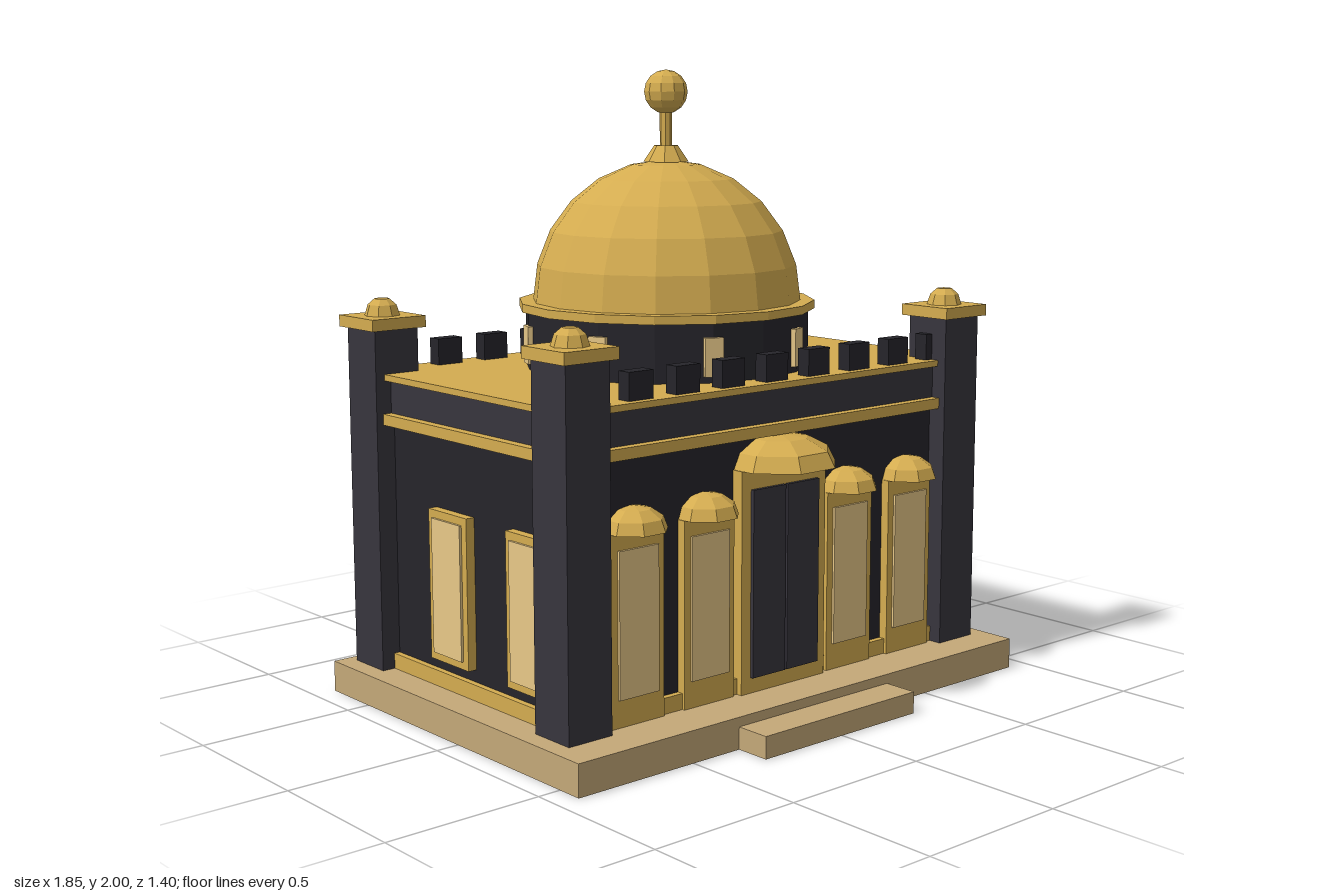
import * as THREE from 'three';

const mat = (color) => new THREE.MeshStandardMaterial({ color, flatShading: true });

export function createModel() {
  const model = new THREE.Group();
  const gold = mat(0xd4ac50), stone = mat(0xc4a878), wall = mat(0x26252b);
  const slate = mat(0x37353d), glass = mat(0xe8c888);

  const add = (name, geo, material, parent = model) => {
    const m = new THREE.Mesh(geo, material);
    m.name = name;
    parent.add(m);
    return m;
  };
  // Box given by its extents on each axis
  const box = (name, material, [x0, x1], [y0, y1], [z0, z1], parent) => {
    const m = add(name, new THREE.BoxGeometry(x1 - x0, y1 - y0, z1 - z0), material, parent);
    m.position.set((x0 + x1) / 2, (y0 + y1) / 2, (z0 + z1) / 2);
    return m;
  };
  // Faceted turned part: [radius, height] pairs from bottom to top
  const turned = (name, material, pts, sides, x, y, z, parent) => {
    const geo = new THREE.LatheGeometry(pts.map(([r, h]) => new THREE.Vector2(r, h)), sides);
    const m = add(name, geo, material, parent);
    m.position.set(x, y, z);
    return m;
  };
  // Quarter-ellipse profile closed underneath
  const domeProfile = (r, h, bands) => {
    const pts = [[0, 0]];
    for (let i = 0; i <= bands; i++) {
      const a = (i / bands) * Math.PI / 2;
      pts.push([i === bands ? 0 : r * Math.cos(a), h * Math.sin(a)]);
    }
    return pts;
  };

  // Terrace and front step
  box('terrace', stone, [-0.925, 0.925], [0, 0.1], [-0.7, 0.585]);
  box('frontStep', stone, [-0.32, 0.32], [0, 0.07], [0.5, 0.7]);

  // Stacked layers of the main block, all about the same centre
  const cz = -0.1;
  const layer = (name, material, hx, hz, y0, y1) =>
    box(name, material, [-hx, hx], [y0, y1], [cz - hz, cz + hz]);
  layer('walls', wall, 0.8, 0.5, 0.1, 0.9);
  layer('plinth', gold, 0.82, 0.52, 0.1, 0.15);
  layer('lowerBand', gold, 0.84, 0.54, 0.895, 0.93);
  layer('frieze', slate, 0.81, 0.51, 0.93, 1.035);
  layer('roof', gold, 0.832, 0.532, 1.035, 1.055);

  // Corner towers with caps and knobs
  for (const x of [-0.785, 0.785]) for (const z of [-0.582, 0.385]) {
    const tower = new THREE.Group();
    tower.name = 'cornerTower';
    tower.position.set(x, 0, z);
    model.add(tower);
    box('towerShaft', slate, [-0.079, 0.079], [0.1, 1.195], [-0.079, 0.079], tower);
    box('towerCap', gold, [-0.098, 0.098], [1.195, 1.232], [-0.098, 0.098], tower);
    turned('towerKnob', gold, [[0.057, 0], [0.046, 0.034], [0.024, 0.053], [0, 0.053]],
      8, 0, 1.232, 0, tower);
  }

  // Battlements along front and back
  for (const z of [-0.585, 0.381]) for (let i = -4; i <= 4; i++) {
    const x = i * 0.181;
    box('merlon', wall, [x - 0.046, x + 0.046], [1.055, 1.14], [z - 0.024, z + 0.024]);
  }

  // Framed panel facing +z, with its back on z = 0
  const framedWindow = (w, y0, y1, g0, g1, gw) => {
    const g = new THREE.Group();
    g.name = 'window';
    box('windowFrame', gold, [-w / 2, w / 2], [y0, y1], [-0.02, 0.03], g);
    box('windowPane', glass, [-gw / 2, gw / 2], [g0, g1], [0, 0.038], g);
    model.add(g);
    return g;
  };
  // Faceted hood half sunk into the wall
  const hood = (r, h, x, y) => {
    const m = turned('hood', gold, domeProfile(r, h, 3), 8, x, y, 0.412);
    m.rotation.y = Math.PI / 8;
    m.scale.set(1.05, 1, 1.05);
  };

  // Arched front windows
  for (const x of [-0.58, -0.3, 0.3, 0.58]) {
    framedWindow(0.2, 0.1, 0.68, 0.185, 0.63, 0.15).position.set(x, 0, 0.4);
    hood(0.1, 0.073, x, 0.68);
  }

  // Side windows
  for (const s of [-1, 1]) for (const z of [-0.175, 0.225]) {
    const w = framedWindow(0.2, 0.19, 0.665, 0.215, 0.64, 0.15);
    w.position.set(s * 0.8, 0, z);
    w.rotation.y = s * Math.PI / 2;
  }

  // Entrance with double doors
  box('doorFrame', gold, [-0.178, 0.178], [0.1, 0.8], [0.38, 0.44]);
  for (const s of [-1, 1]) {
    const d = box('doorLeaf', slate, [-0.068, 0.068], [0.15, 0.74], [0.42, 0.452]);
    d.position.x = s * 0.072;
  }
  hood(0.18, 0.097, 0, 0.8);

  // Drum, its small windows and the main dome
  const dz = -0.117;
  turned('drum', wall, [[0.46, 0], [0.46, 0.19]], 16, 0, 1.05, dz);
  for (let i = 0; i < 8; i++) {
    const a = (i + 0.5) * Math.PI / 4;
    const w = add('drumWindow', new THREE.BoxGeometry(0.06, 0.12, 0.03), glass);
    w.position.set(0.455 * Math.sin(a), 1.135, dz + 0.455 * Math.cos(a));
    w.rotation.y = a;
  }
  turned('drumCornice', gold, [[0, 0], [0.48, 0], [0.48, 0.027], [0, 0.027]], 16, 0, 1.238, dz);
  turned('dome', gold, domeProfile(0.435, 0.453, 6), 16, 0, 1.262, dz);

  // Finial
  turned('finialBase', gold, [[0.073, 0], [0.038, 0.052], [0, 0.052]], 8, 0, 1.708, dz);
  turned('finialPole', gold, [[0.02, 0], [0.02, 0.13]], 8, 0, 1.75, dz);
  add('finialBall', new THREE.SphereGeometry(0.07, 10, 8), gold).position.set(0, 1.93, dz);

  return model;
}
